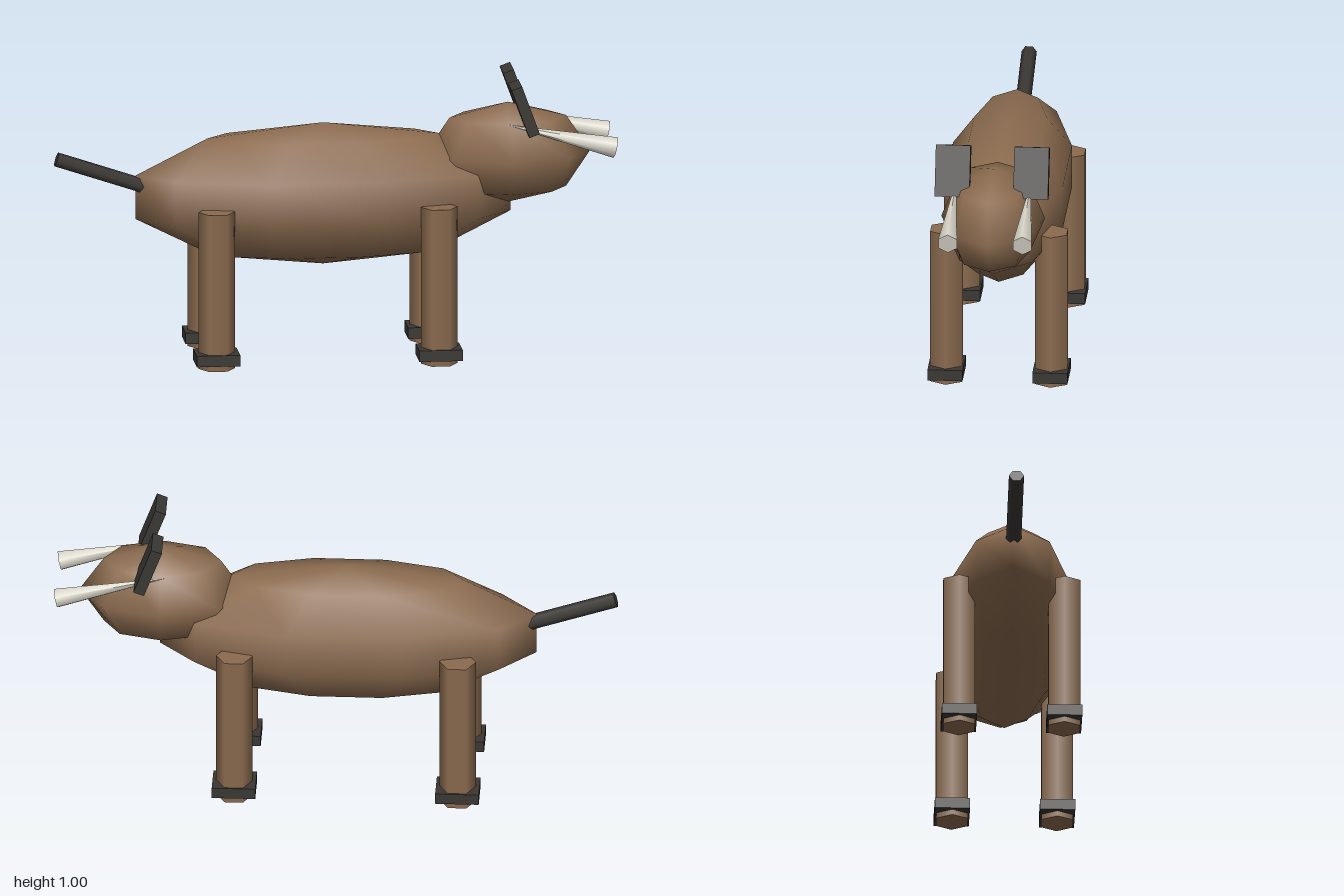
import * as THREE from 'three';

const brown = new THREE.MeshStandardMaterial({ color: 0x8b6b4f });
const dark = new THREE.MeshStandardMaterial({ color: 0x3a3733 });
const ivory = new THREE.MeshStandardMaterial({ color: 0xd8d4c8 });

export function createModel() {
  const model = new THREE.Group();
  model.name = 'animal';

  const add = (name, geometry, material, x, y, z, tilt = 0) => {
    const mesh = new THREE.Mesh(geometry, material);
    mesh.name = name;
    mesh.position.set(x, y, z);
    mesh.rotation.z = tilt;
    model.add(mesh);
    return mesh;
  };

  // Body and head: coarse spheres stretched along x
  add('body', new THREE.SphereGeometry(1, 10, 5), brown, -0.04, 0.588, 0).scale.set(0.704, 0.257, 0.234);
  add('head', new THREE.SphereGeometry(1, 8, 4), brown, 0.62, 0.722, 0).scale.set(0.295, 0.182, 0.185);

  // Tail: thin rod rising backwards
  const tailTilt = THREE.MathUtils.degToRad(71.5);
  add('tail', new THREE.CylinderGeometry(0.027, 0.027, 0.327, 6), dark, -0.838, 0.681, 0, tailTilt);

  // Six-sided legs with a corner pointing along x, each with a square hoof band
  const legShape = new THREE.CylinderGeometry(0.065, 0.065, 0.57, 6, 1, false, Math.PI / 6);
  const hoofShape = new THREE.BoxGeometry(0.155, 0.04, 0.125);
  // Ears lean back; tusks are cones with the point buried in the head
  const earShape = new THREE.BoxGeometry(0.04, 0.185, 0.124);
  const tuskShape = new THREE.ConeGeometry(0.038, 0.4, 6, 1, false, Math.PI / 6);

  for (const [side, s] of [['left', 1], ['right', -1]]) {
    for (const [end, x] of [['front', 0.355], ['back', -0.44]]) {
      add(`${end} leg ${side}`, legShape, brown, x, 0.285, s * 0.187);
      add(`${end} hoof ${side}`, hoofShape, dark, x, 0.04, s * 0.187);
    }
    add(`ear ${side}`, earShape, dark, 0.663, 0.909, s * 0.14, THREE.MathUtils.degToRad(20));
    add(`tusk ${side}`, tuskShape, ivory, 0.797, 0.804, s * 0.133, THREE.MathUtils.degToRad(76.6));
  }
  return model;
}
